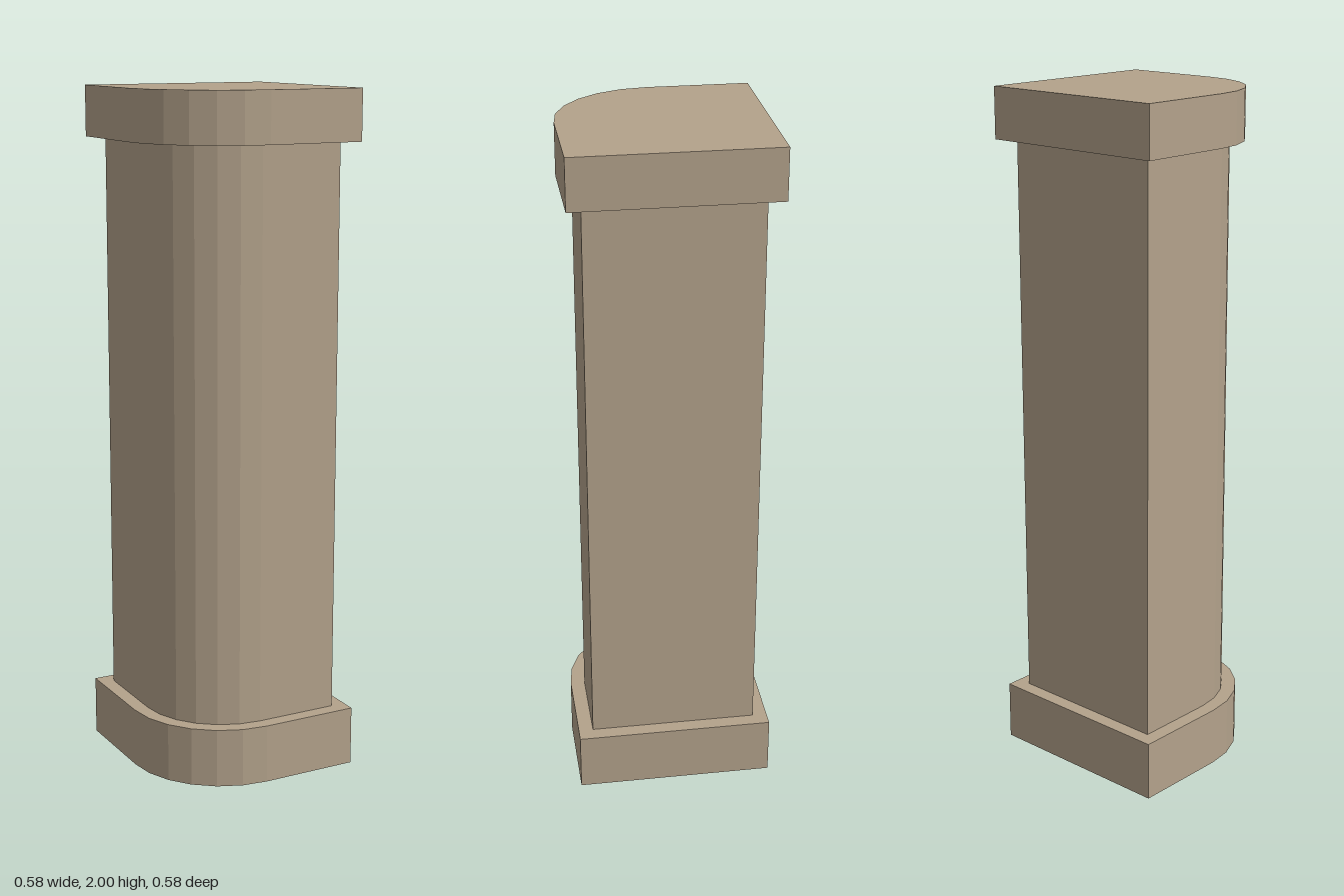
import * as THREE from 'three';

const stone = new THREE.MeshStandardMaterial({ color: 0xb3a28b });
stone.name = 'sandstone';

// Square block with one quarter-round corner at (-x, +z)
function block(name, half, bottom, top) {
  const plan = new THREE.Shape();
  plan.moveTo(half, -half);
  plan.lineTo(half, half);
  plan.lineTo(-half, half);
  plan.lineTo(-half, 0);
  plan.absarc(0, 0, half, Math.PI, Math.PI * 1.5, false);
  plan.closePath();
  const geometry = new THREE.ExtrudeGeometry(plan, {
    depth: top - bottom,
    bevelEnabled: false,
    curveSegments: 3, // arcs are sampled twice per step: six facets
  });
  geometry.rotateX(-Math.PI / 2);
  geometry.translate(0, bottom, 0);
  const mesh = new THREE.Mesh(geometry, stone);
  mesh.name = name;
  return mesh;
}

export function createModel() {
  const pillar = new THREE.Group();
  pillar.name = 'cornerPillar';
  pillar.add(
    block('base', 0.29, 0, 0.175),
    block('shaft', 0.247, 0.175, 1.853),
    block('capital', 0.29, 1.853, 2),
  );
  return pillar;
}
